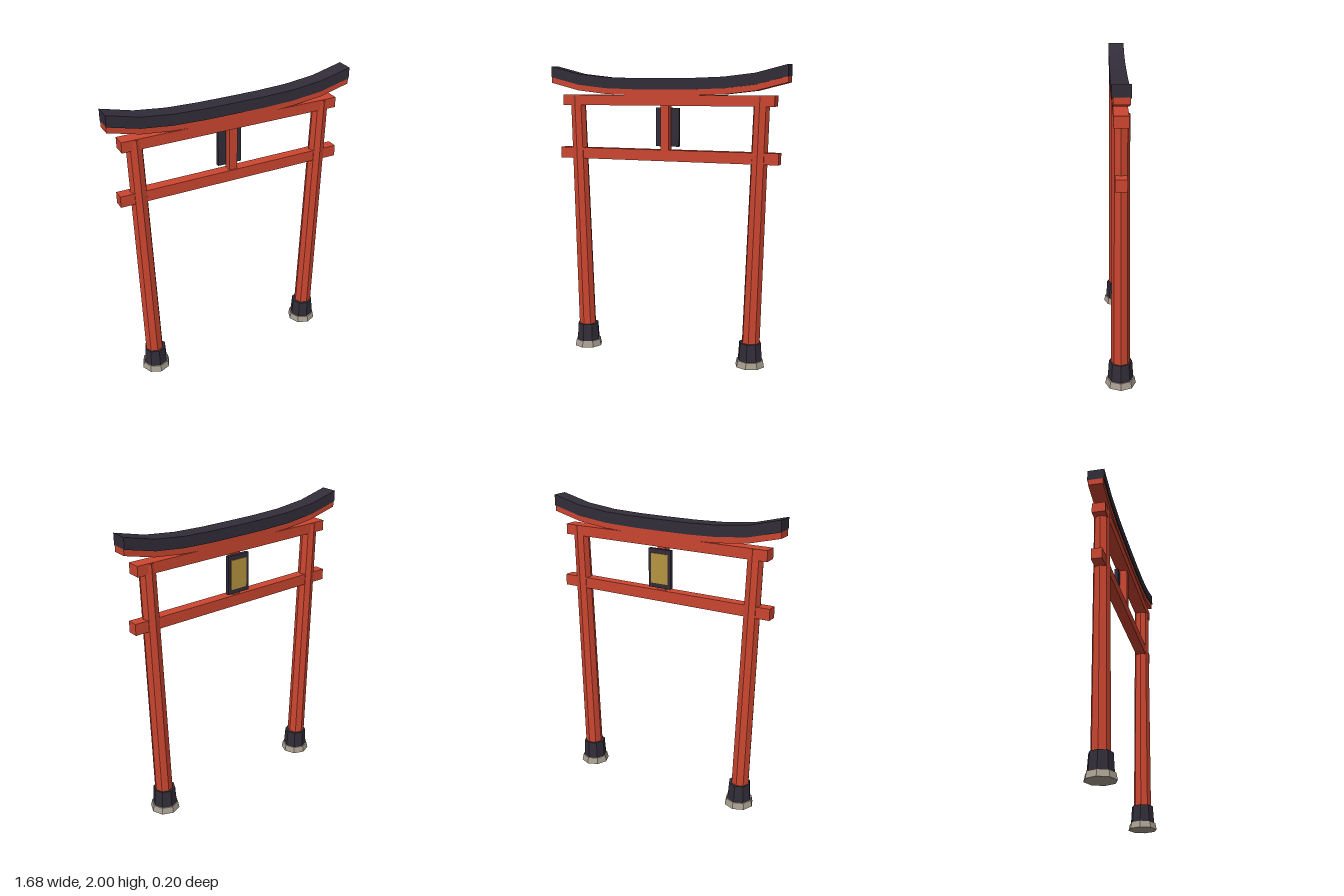
import * as THREE from 'three';

const mat = (color) => new THREE.MeshStandardMaterial({ color, flatShading: true });

export function createModel() {
  const model = new THREE.Group();
  model.name = 'gate';
  const red = mat(0xcc4630), dark = mat(0x322d39), stone = mat(0xa89f90), gold = mat(0xb8963f);

  const add = (name, geometry, material, parent = model) => {
    const mesh = new THREE.Mesh(geometry, material);
    mesh.name = name;
    parent.add(mesh);
    return mesh;
  };

  // Box given by its half width and its y and z ranges
  const beam = (name, halfX, y0, y1, z0, z1, material) =>
    add(name, new THREE.BoxGeometry(halfX * 2, y1 - y0, z1 - z0), material)
      .position.set(0, (y0 + y1) / 2, (z0 + z1) / 2);

  // Octagonal tapered drum between two heights
  const drum = (rTop, rBottom, y0, y1) =>
    new THREE.CylinderGeometry(rTop, rBottom, y1 - y0, 8).translate(0, (y0 + y1) / 2, 0);

  // Pillars leaning outward, each on a collar and a footing stone
  const lean = 0.0285;
  for (const [side, sign] of [['left', 1], ['right', -1]]) {
    const pillar = new THREE.Group();
    pillar.name = `${side}Pillar`;
    pillar.position.x = sign * 0.61;
    model.add(pillar);
    add(`${side}FootingStone`, drum(0.091, 0.1, 0, 0.045), stone, pillar);
    add(`${side}Collar`, drum(0.075, 0.083, 0.045, 0.165), dark, pillar);
    const shear = new THREE.Matrix4().set(1, sign * lean, 0, 0, 0, 1, 0, 0, 0, 0, 1, 0, 0, 0, 0, 1);
    add(`${side}Post`, drum(0.053, 0.0615, 0.1, 1.8).applyMatrix4(shear), red, pillar);
  }

  // Straight cross beams and centre strut
  beam('lowerTieBeam', 0.785, 1.365, 1.44, -0.036, 0.036, red);
  beam('upperLintel', 0.755, 1.735, 1.805, -0.045, 0.045, red);
  beam('centreStrut', 0.028, 1.44, 1.735, -0.028, 0.028, red);

  // Plaque on the back of the strut
  beam('plaqueFrame', 0.083, 1.46, 1.72, -0.05, -0.024, dark);
  beam('plaquePanel', 0.062, 1.49, 1.69, -0.054, -0.045, gold);

  // Curved top beams: boxes whose ends sweep upward
  const curvedBeam = (name, y0, y1, halfZ, material) => {
    const g = new THREE.BoxGeometry(1.68, y1 - y0, halfZ * 2, 8, 1, 1).translate(0, (y0 + y1) / 2, 0);
    const p = g.attributes.position;
    for (let i = 0; i < p.count; i++) {
      p.setY(i, p.getY(i) + 0.084 * Math.pow(Math.abs(p.getX(i)) / 0.84, 3.4));
    }
    g.computeVertexNormals();
    add(name, g, material);
  };
  curvedBeam('curvedUnderBeam', 1.803, 1.843, 0.049, red);
  curvedBeam('curvedRoofBeam', 1.842, 1.916, 0.056, dark);

  return model;
}
